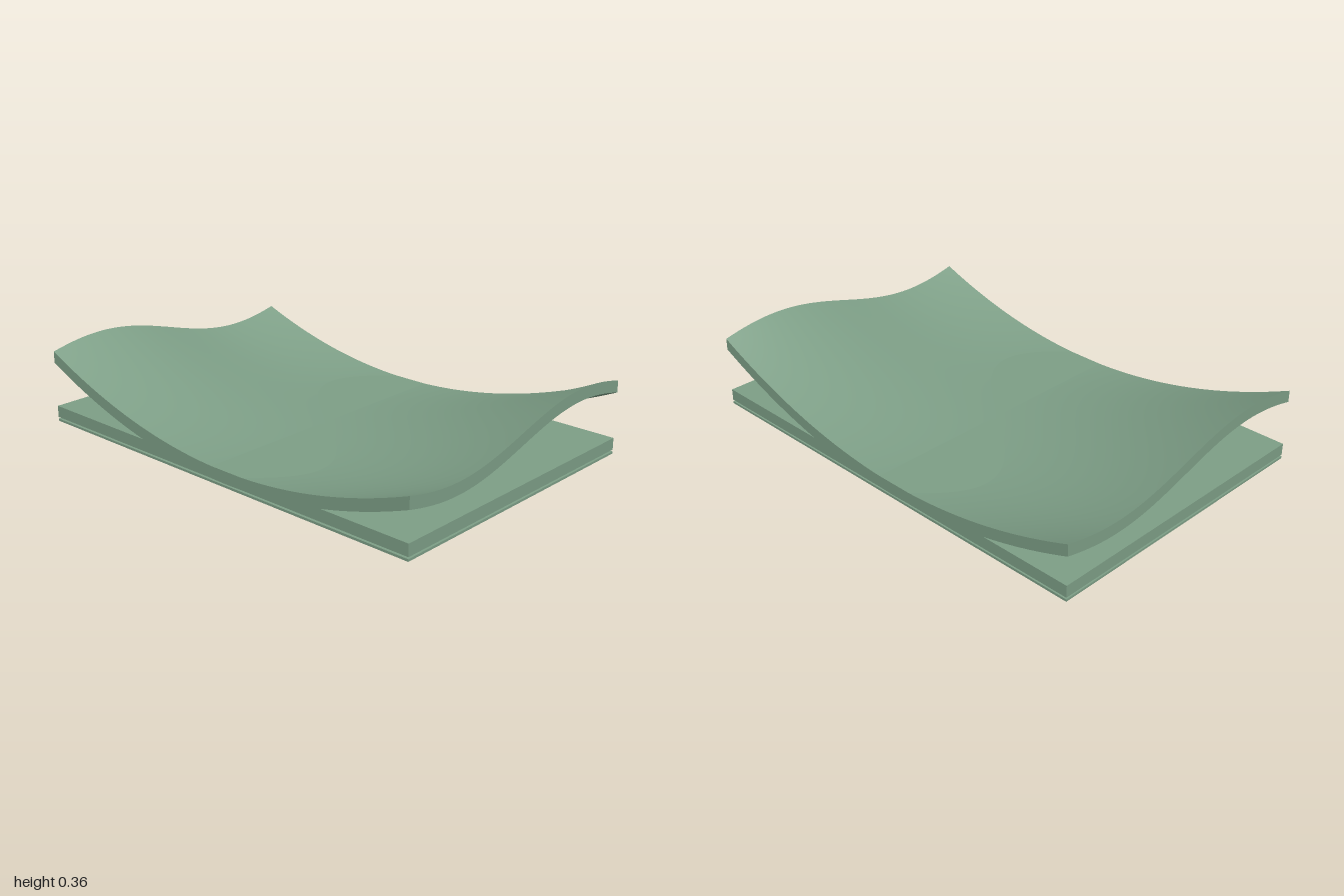
import * as THREE from 'three';

const WIDTH = 2, DEPTH = 1.332;
const SHEET = 0.052; // thickness of the curved sheet and of the slab

// Height of the curved sheet's top: a trough along z, twisted by a wave
const sheetTop = (x, z) =>
  0.07 + 0.215 * x * x - 0.073 * x * Math.sin((Math.PI * z) / 0.8);

export function createModel() {
  const group = new THREE.Group();
  const material = new THREE.MeshStandardMaterial({ color: 0x7d9e86 });

  const add = (name, geometry, y = 0) => {
    const mesh = new THREE.Mesh(geometry, material);
    mesh.name = name;
    mesh.position.y = y;
    group.add(mesh);
  };

  // Thin plate on the ground
  add('bottomPlate', new THREE.BoxGeometry(WIDTH, 0.01, DEPTH), 0.005);

  // Flat slab hovering just above the plate
  add('flatSlab', new THREE.BoxGeometry(WIDTH, SHEET, DEPTH), 0.07 - SHEET / 2);

  // Curved sheet: a finely divided box lifted onto the wavy trough
  const sheet = new THREE.BoxGeometry(WIDTH, SHEET, DEPTH, 72, 1, 64);
  const pos = sheet.attributes.position;
  for (let i = 0; i < pos.count; i++) {
    const lift = sheetTop(pos.getX(i), pos.getZ(i)) - SHEET / 2;
    pos.setY(i, pos.getY(i) + lift);
  }
  sheet.computeVertexNormals(); // box faces share no vertices, so rims stay sharp
  add('curvedSheet', sheet);

  return group;
}
